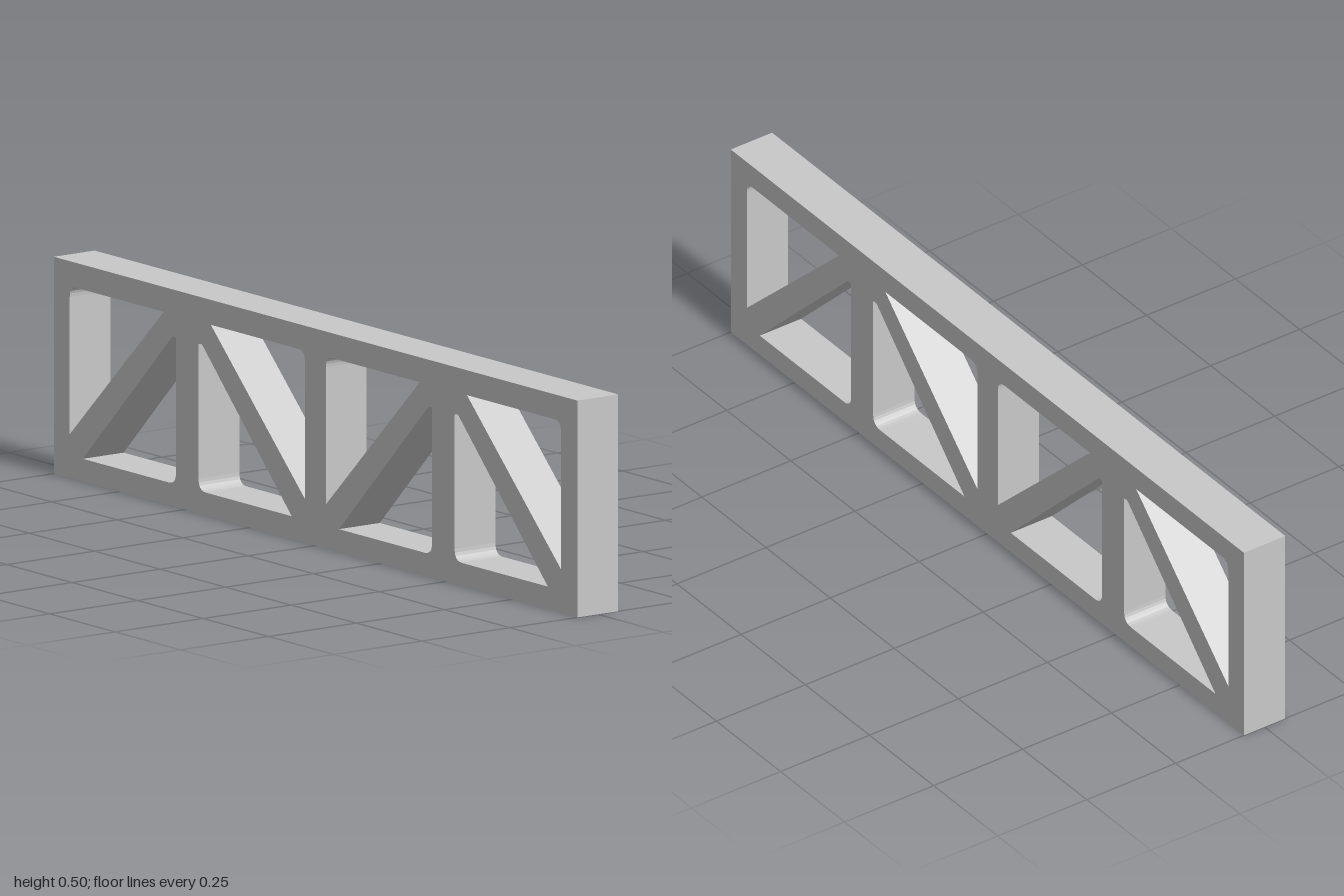
import * as THREE from 'three';

const DEPTH = 0.116;
const HEIGHT = 0.505;

// Closed path through [x, y, radius] corners, rounding each corner that has a radius
function roundedPath(points) {
  const path = new THREE.Path();
  const n = points.length;
  points.forEach(([x, y, r], i) => {
    const here = new THREE.Vector2(x, y);
    const toward = ([px, py]) =>
      new THREE.Vector2(px, py).sub(here).setLength(r).add(here);
    const a = r ? toward(points[(i + n - 1) % n]) : here;
    const b = r ? toward(points[(i + 1) % n]) : here;
    if (i === 0) path.moveTo(a.x, a.y);
    else path.lineTo(a.x, a.y);
    if (r) path.quadraticCurveTo(x, y, b.x, b.y);
  });
  path.closePath();
  return path;
}

export function createModel() {
  const model = new THREE.Group();
  model.name = 'trussBeam';
  const grey = new THREE.MeshStandardMaterial({ color: 0xc8c8c8 });
  grey.name = 'lightGrey';

  // Outer frame outline
  const outline = new THREE.Shape();
  outline.moveTo(-1, 0);
  outline.lineTo(1, 0);
  outline.lineTo(1, HEIGHT);
  outline.lineTo(-1, HEIGHT);
  outline.closePath();

  // Openings of half a bay, measured from the bay's centre post
  const upperOpening = [[0.449, 0.447, 0.025], [0.09, 0.447, 0], [0.449, 0.102, 0]];
  const lowerOpening = [[0.043, 0.053, 0.028], [0.043, 0.396, 0.003], [0.056, 0.396, 0.003], [0.399, 0.053, 0]];

  // Two bays, each mirrored about its post, leave the chords, posts and diagonals
  for (const centre of [-0.49, 0.488]) {
    for (const side of [-1, 1]) {
      for (const opening of [upperOpening, lowerOpening]) {
        outline.holes.push(roundedPath(opening.map(([x, y, r]) => [centre + side * x, y, r])));
      }
    }
  }

  const geometry = new THREE.ExtrudeGeometry(outline, {
    depth: DEPTH, bevelEnabled: false, curveSegments: 6,
  });
  geometry.translate(0, 0, -DEPTH / 2);
  const truss = new THREE.Mesh(geometry, grey);
  truss.name = 'trussFrame';
  model.add(truss);
  return model;
}
